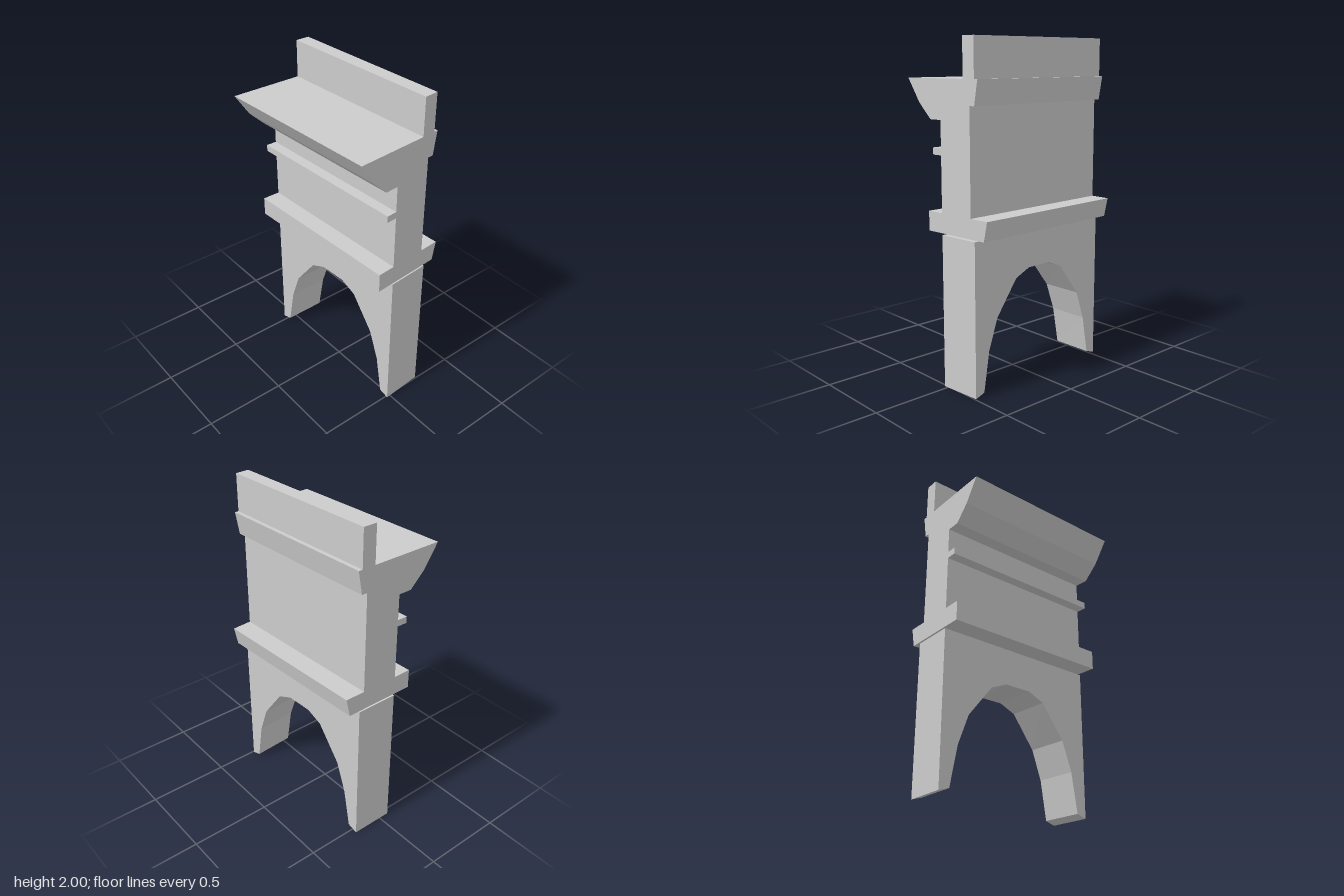
import * as THREE from 'three';

const BACK = -0.535; // straight back end
const material = new THREE.MeshStandardMaterial({ color: 0xcccccc, flatShading: true });

const shapeOf = (points) => new THREE.Shape(points.map(([x, y]) => new THREE.Vector2(x, y)));

// Turns z from 0 (back) .. 1 (front) into the slightly skewed plan with its slanted front end
function skew(geometry) {
  const p = geometry.attributes.position;
  for (let i = 0; i < p.count; i++) {
    const x = p.getX(i);
    const front = 0.51 - 0.073 * x;
    const z = BACK + p.getZ(i) * (front - BACK);
    p.setX(i, x + 0.039 * (z - front));
    p.setZ(i, z);
  }
  geometry.computeVertexNormals();
  return geometry;
}

function addPart(group, name, geometry) {
  const mesh = new THREE.Mesh(skew(geometry), material);
  mesh.name = name;
  group.add(mesh);
}

export function createModel() {
  const group = new THREE.Group();
  group.name = 'archedWall';

  // Upper wall: base ledge, string course, cornice and parapet in one cross-section
  const section = shapeOf([
    [-0.135, 0.915], [0.305, 0.915], [0.33, 1.03], [0.205, 1.03], // base ledge
    [0.205, 1.635], [0.24, 1.635], [0.265, 1.775], [0.24, 1.775], // right cornice
    [0.24, 2], [0.155, 2], [0.155, 1.775], // parapet
    [-0.29, 1.775], [-0.2, 1.64], [-0.108, 1.55], [-0.025, 1.55], // left cornice
    [-0.025, 1.395], [-0.09, 1.395], [-0.09, 1.355], [-0.025, 1.355], // string course
    [-0.025, 1.03], [-0.135, 1.03],
  ]);
  addPart(group, 'upperWall', new THREE.ExtrudeGeometry(section, { depth: 1, bevelEnabled: false }));

  // Lower wall with a faceted arch, drawn from the side and extruded across x
  const arch = [
    [-0.535, 0], [-0.47, 0.02], [-0.425, 0.26], [-0.36, 0.44], [-0.205, 0.64], [-0.1, 0.685],
    [0.07, 0.685], [0.175, 0.64], [0.325, 0.44], [0.39, 0.26], [0.43, 0.02], [0.493, 0],
    [0.493, 0.905], [-0.535, 0.905],
  ].map(([z, y]) => [(z - BACK) / 1.028, y]);
  const lower = new THREE.ExtrudeGeometry(shapeOf(arch), { depth: 0.26, bevelEnabled: false });
  lower.rotateY(-Math.PI / 2).translate(0.235, 0, 0);
  addPart(group, 'archedBase', lower);

  return group;
}
